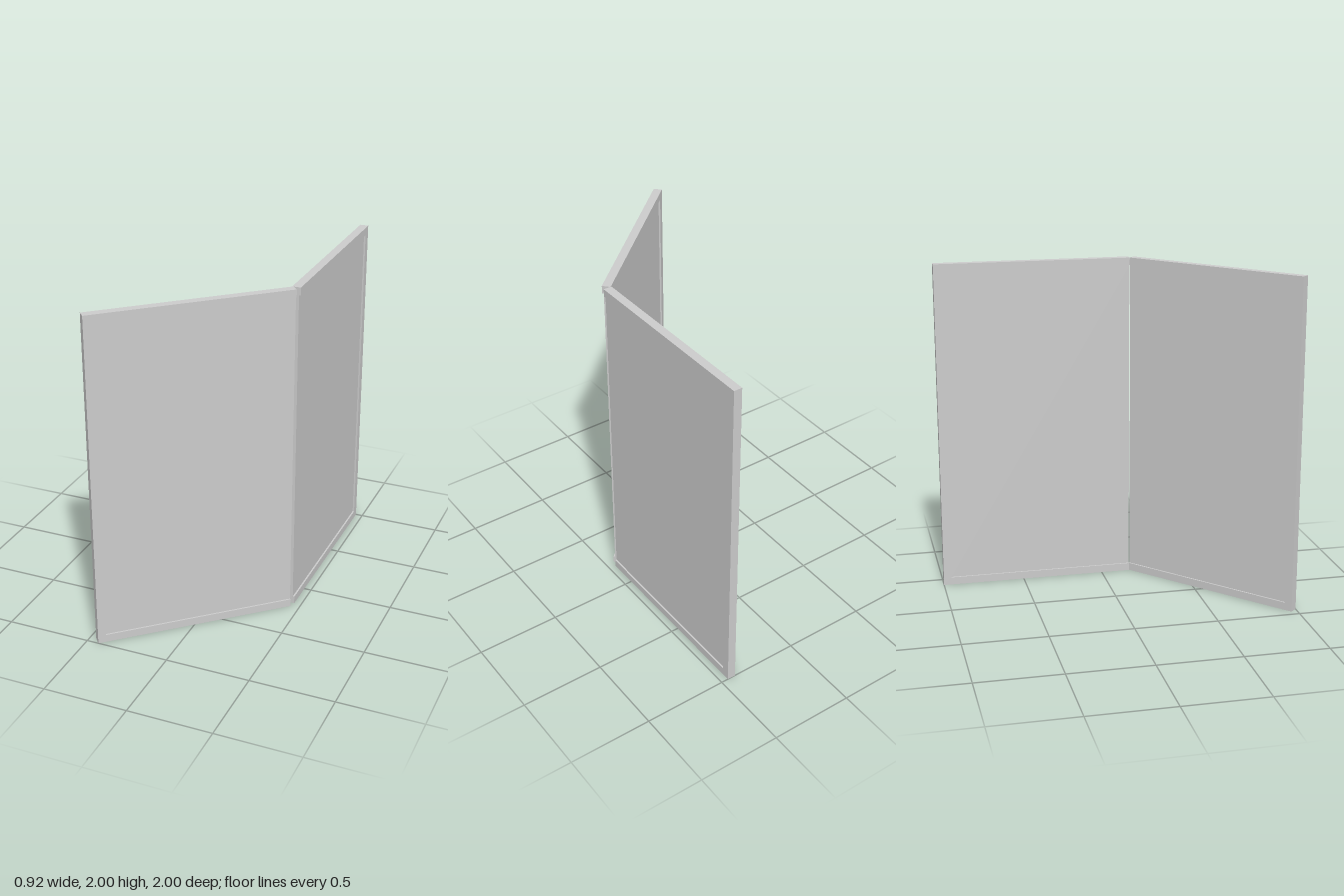
import * as THREE from 'three';

const HEIGHT = 2, LENGTH = 1.177, DEPTH = 0.05, BORDER = 0.046, RECESS = 0.01;

// One leaf: a three-sided frame, open at the hinge (x = 0), with a recessed sheet
function makeLeaf(name, material) {
  const leaf = new THREE.Group();
  leaf.name = name;

  const inner = LENGTH - BORDER, top = HEIGHT - BORDER;
  const outline = new THREE.Shape([
    [0, 0], [LENGTH, 0], [LENGTH, HEIGHT], [0, HEIGHT],
    [0, top], [inner, top], [inner, BORDER], [0, BORDER],
  ].map(([x, y]) => new THREE.Vector2(x, y)));
  const frameGeometry = new THREE.ExtrudeGeometry(outline, { depth: DEPTH, bevelEnabled: false });
  frameGeometry.translate(0, 0, -DEPTH / 2);
  const frame = new THREE.Mesh(frameGeometry, material);
  frame.name = 'frame';

  const sheet = new THREE.Mesh(
    new THREE.BoxGeometry(inner, HEIGHT - 2 * BORDER, DEPTH - 2 * RECESS), material);
  sheet.name = 'panel';
  sheet.position.set(inner / 2, HEIGHT / 2, 0);

  leaf.add(frame, sheet);
  return leaf;
}

export function createModel() {
  const model = new THREE.Group();
  model.name = 'foldingScreen';
  const material = new THREE.MeshStandardMaterial({ color: 0xcccccc });

  // Straight leaf running to the back
  const backLeaf = makeLeaf('backLeaf', material);
  backLeaf.position.set(0.432, 0, 0.177);
  backLeaf.rotation.y = Math.PI / 2;

  // Leaf folded diagonally towards the front
  const frontLeaf = makeLeaf('frontLeaf', material);
  frontLeaf.position.set(0.43, 0, 0.194);
  frontLeaf.rotation.y = Math.atan2(-0.785, -0.872);

  model.add(backLeaf, frontLeaf);
  return model;
}
